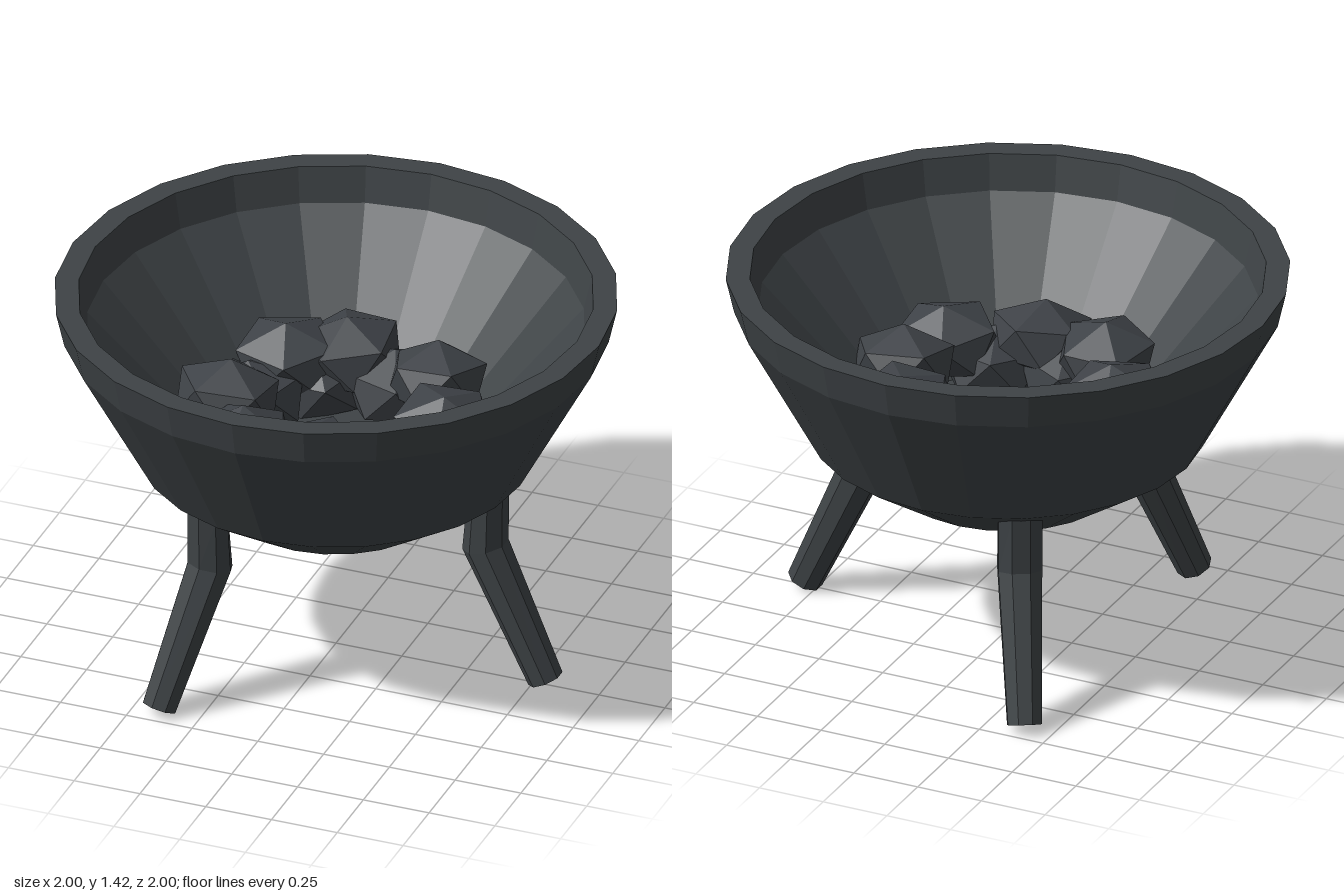
import * as THREE from 'three';

export function createModel() {
  const model = new THREE.Group();
  const iron = new THREE.MeshStandardMaterial({ color: 0x3e4346 });
  iron.name = 'dark iron';
  iron.flatShading = true;
  const coal = new THREE.MeshStandardMaterial({ color: 0x3e4247 });
  coal.name = 'coal grey';
  coal.flatShading = true;

  // Bowl: outer wall, rim, and an inner cone down to a small flat floor
  const profile = [
    [0, 0.595], [0.4, 0.595], [0.7, 0.795], [0.97, 1.295], [1, 1.427],
    [0.915, 1.427], [0.885, 1.295], [0.43, 0.8], [0, 0.8],
  ].map(([r, y]) => new THREE.Vector2(r, y));
  const bowl = new THREE.Mesh(new THREE.LatheGeometry(profile, 24), iron);
  bowl.name = 'bowl';
  model.add(bowl);

  // Leg: octagonal tube whose three rings are placed, sized and tilted to make a bent knee
  const rings = [
    { x: 0.577, y: 0.727, r: 0.084, tilt: 0.5 },
    { x: 0.568, y: 0.53, r: 0.084, tilt: 0.24 },
    { x: 0.796, y: 0.03, r: 0.065, tilt: 0.42 },
  ];
  const legShape = new THREE.CylinderGeometry(1, 1, 2, 8, 2, false, Math.PI / 8);
  const p = legShape.attributes.position;
  for (let i = 0; i < p.count; i++) {
    const { x, y, r, tilt } = rings[Math.round(1 - p.getY(i))];
    const u = p.getX(i) * r;
    p.setXYZ(i, x + u * Math.cos(tilt), y + u * Math.sin(tilt), p.getZ(i) * r);
  }
  legShape.computeVertexNormals();
  for (let i = 0; i < 3; i++) {
    const leg = new THREE.Mesh(legShape, iron);
    leg.name = 'leg' + (i + 1);
    leg.rotation.y = (i * Math.PI * 2) / 3;
    model.add(leg);
  }

  // Coals: flattened icosahedrons, an upper ring with a few lower lumps in its gaps
  const coalShape = new THREE.IcosahedronGeometry(0.21, 0);
  coalShape.rotateX(-Math.atan(1.618));
  coalShape.scale(1, 0.68, 0.93);
  const coals = new THREE.Group();
  coals.name = 'coals';
  model.add(coals);
  const addCoal = (x, y, z, turn) => {
    const lump = new THREE.Mesh(coalShape, coal);
    lump.name = 'coal';
    lump.position.set(x, y, z);
    lump.rotation.set(0.15 * Math.sin(turn * 3), turn, 0.15 * Math.cos(turn * 5));
    coals.add(lump);
  };
  const upper = [
    [-0.29, -0.27], [-0.1, -0.385], [0.26, -0.315], [0.41, 0],
    [0.35, 0.23], [0.06, 0.395], [-0.21, 0.355], [-0.385, 0.07],
  ];
  upper.forEach(([x, z], i) => addCoal(x, 0.97, z, 0.3 + i * 0.8));
  [57, 100, 196, 240, 282].forEach((deg, i) => {
    const a = THREE.MathUtils.degToRad(deg);
    addCoal(0.37 * Math.cos(a), 0.88, 0.37 * Math.sin(a), 1 + i * 1.1);
  });
  return model;
}
